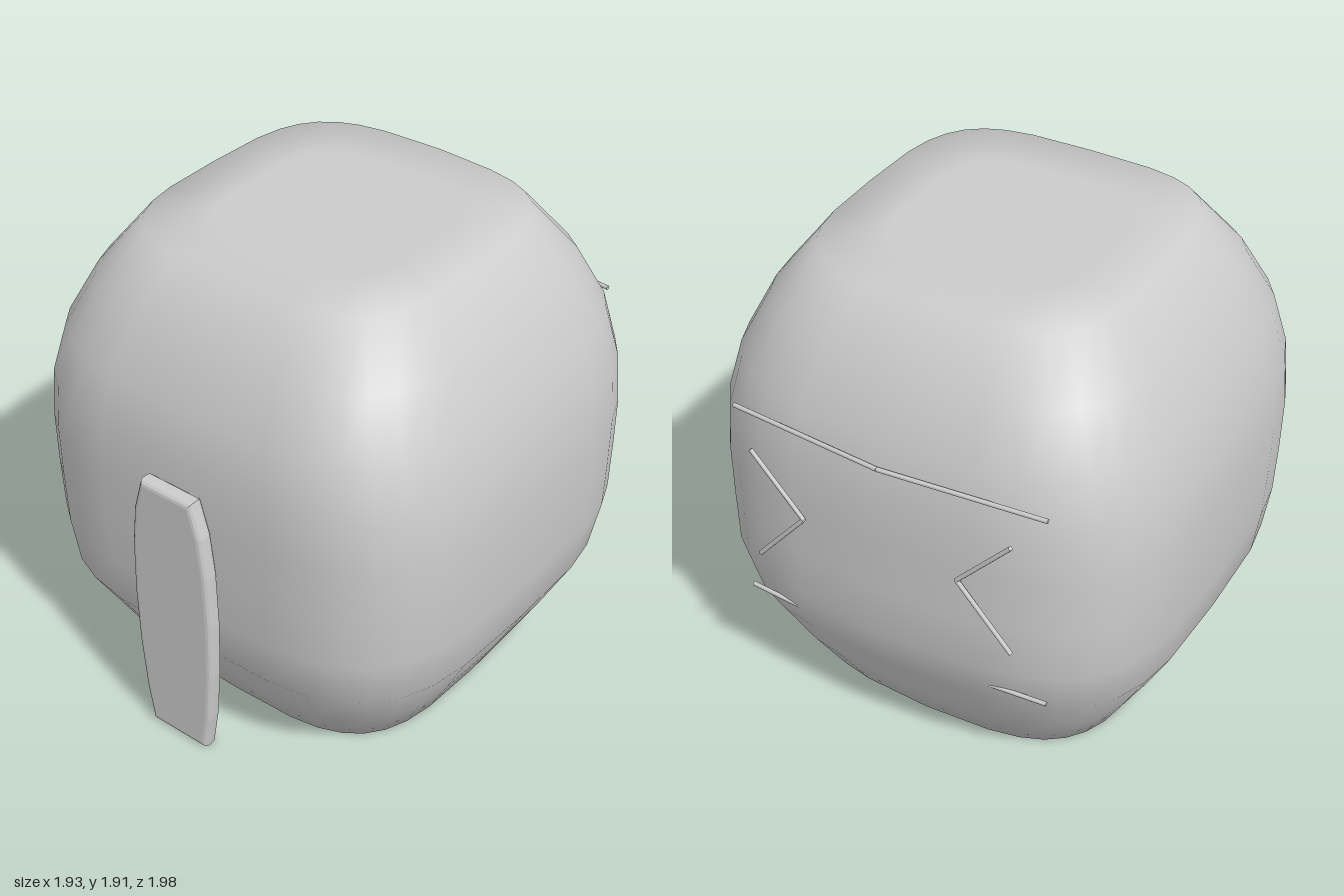
import * as THREE from 'three';

const SEGMENTS = 32;

// Cross-sections from bottom to top: height, half width, front z, back z
const RINGS = [
  [0, 0, -0.03, -0.03], [0, 0.45, 0.4, -0.46],
  [0, 0.69, 0.65, -0.71], [0.2, 0.8, 0.765, -0.825], [0.43, 0.92, 0.895, -0.94],
  [0.63, 0.95, 0.918, -0.995], [0.85, 0.96, 0.922, -0.99], [1.07, 0.965, 0.922, -0.985],
  [1.28, 0.945, 0.915, -0.975], [1.49, 0.885, 0.87, -0.93], [1.7, 0.78, 0.76, -0.82],
  [1.91, 0.62, 0.6, -0.65], [1.91, 0.4, 0.37, -0.42], [1.91, 0, -0.025, -0.025],
];

function bodyGeometry() {
  const positions = [], indices = [];
  const round = (v) => Math.sign(v) * Math.abs(v) ** (2 / 3.7);
  for (const [y, halfWidth, front, back] of RINGS) {
    const middle = (front + back) / 2, halfDepth = (front - back) / 2;
    for (let j = 0; j < SEGMENTS; j++) {
      const a = (j / SEGMENTS) * Math.PI * 2;
      const x = halfWidth * round(Math.cos(a));
      let z = middle + halfDepth * round(Math.sin(a));
      // the back is slightly ridged along its centre line
      if (z < 0) z *= 1 - 0.045 * Math.abs(x);
      positions.push(x, y, z);
    }
  }
  for (let i = 0; i < RINGS.length - 1; i++) {
    for (let j = 0; j < SEGMENTS; j++) {
      const k = (j + 1) % SEGMENTS;
      const a = i * SEGMENTS + j, b = i * SEGMENTS + k;
      const c = a + SEGMENTS, d = b + SEGMENTS;
      indices.push(a, c, b, b, c, d);
    }
  }
  const geometry = new THREE.BufferGeometry();
  geometry.setAttribute('position', new THREE.Float32BufferAttribute(positions, 3));
  geometry.setIndex(indices);
  geometry.computeVertexNormals();
  return geometry;
}

// Barrel-sided upright slab with rounded edges
function slabGeometry() {
  const bevel = 0.022;
  const side = [[0.14, 0], [0.165, 0.17], [0.185, 0.4], [0.192, 0.65], [0.185, 0.88], [0.165, 1.05], [0.128, 1.2]];
  const right = side.map(([x, y]) =>
    new THREE.Vector2(x - bevel, THREE.MathUtils.clamp(y, bevel, 1.2 - bevel)));
  const left = right.map((p) => new THREE.Vector2(-p.x, p.y)).reverse();
  const geometry = new THREE.ExtrudeGeometry(new THREE.Shape([...right, ...left]), {
    depth: 0.07 - 2 * bevel, bevelEnabled: true,
    bevelThickness: bevel, bevelSize: bevel, bevelSegments: 3,
  });
  geometry.translate(0, 0, 0.918 + bevel);
  return geometry;
}

export function createModel() {
  const group = new THREE.Group();
  const material = new THREE.MeshStandardMaterial({ color: 0xcccccc });
  const add = (name, geometry) => {
    const mesh = new THREE.Mesh(geometry, material);
    mesh.name = name;
    group.add(mesh);
    return mesh;
  };

  // Thin rods joining a list of points
  const addRods = (name, points) => {
    for (let i = 0; i < points.length - 1; i++) {
      const start = new THREE.Vector3(...points[i]);
      const direction = new THREE.Vector3(...points[i + 1]).sub(start);
      const rod = add(name, new THREE.CylinderGeometry(0.009, 0.009, direction.length(), 8));
      rod.position.copy(start).addScaledVector(direction, 0.5);
      rod.quaternion.setFromUnitVectors(new THREE.Vector3(0, 1, 0), direction.normalize());
    }
  };

  add('body', bodyGeometry());
  add('frontSlab', slabGeometry());

  // Face on the back: brow, mouth and two angled eyes
  addRods('brow', [[-0.66, 1.4, -0.91], [0, 1.4, -0.965], [0.66, 1.4, -0.91]]);
  addRods('mouth', [[-0.66, 0.52, -0.905], [0, 0.52, -0.955], [0.66, 0.52, -0.905]]);
  for (const s of [-1, 1]) {
    addRods(s > 0 ? 'leftEye' : 'rightEye',
      [[s * 0.55, 1.28, -0.975], [s * 0.33, 1.04, -0.98], [s * 0.55, 0.78, -0.975]]);
  }
  return group;
}
